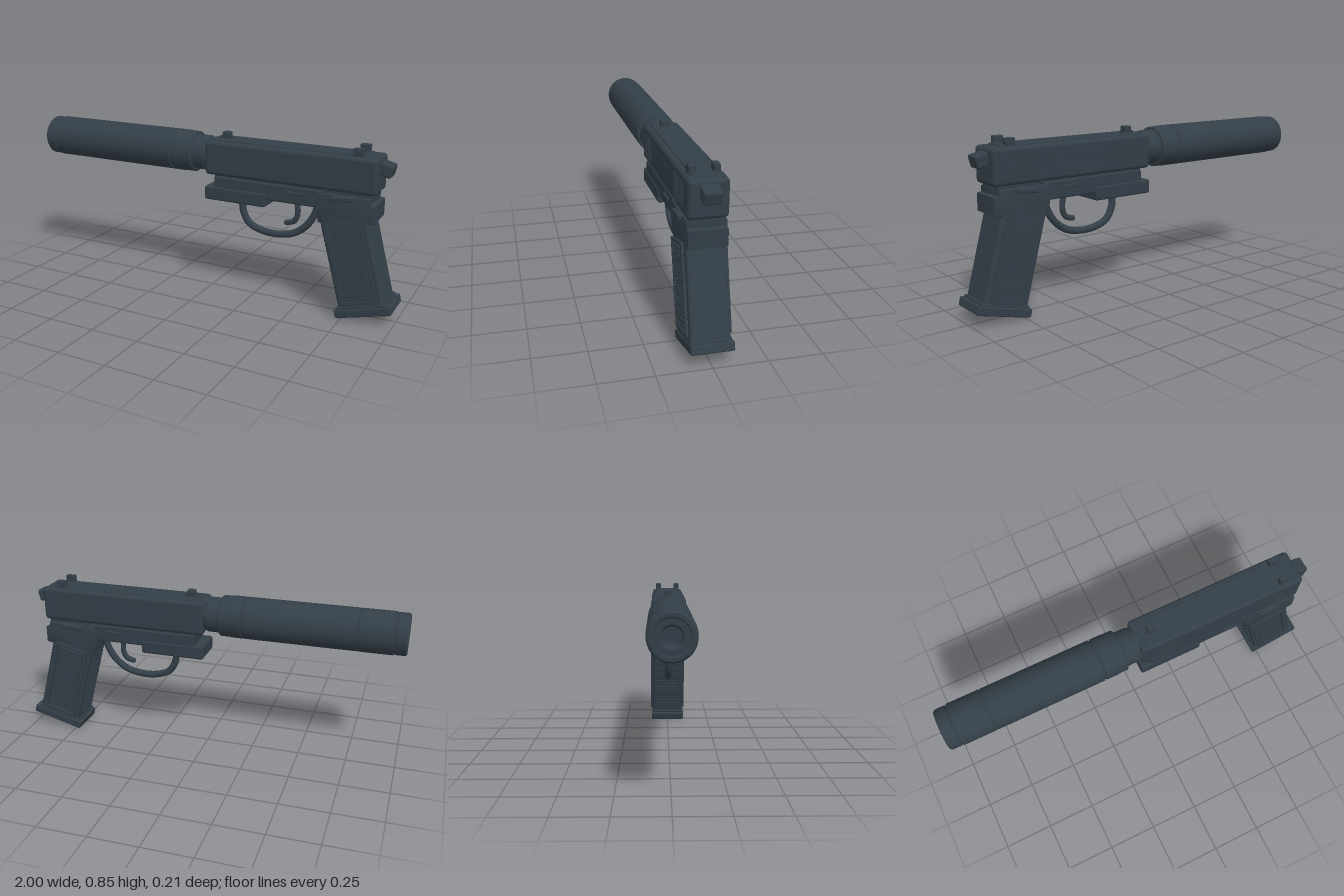
import * as THREE from 'three';
import { mergeGeometries, toCreasedNormals } from 'three/addons/utils/BufferGeometryUtils.js';
import { RoundedBoxGeometry } from 'three/addons/geometries/RoundedBoxGeometry.js';

export function createModel() {
  const root = new THREE.Group();
  const gunmetal = new THREE.MeshStandardMaterial({ color: 0x333e47 });

  const add = (name, geometry, parent = root) => {
    const mesh = new THREE.Mesh(geometry, gunmetal);
    mesh.name = name;
    parent.add(mesh);
    return mesh;
  };
  // Box given by its limits in x and y, its middle z and its width in z
  const box = (x0, x1, y0, y1, z, w, r = 0) => {
    const g = r
      ? new RoundedBoxGeometry(x1 - x0, y1 - y0, w, 2, r)
      : new THREE.BoxGeometry(x1 - x0, y1 - y0, w);
    return g.translate((x0 + x1) / 2, (y0 + y1) / 2, z);
  };
  const outline = (pts) => pts.map(([x, y]) => new THREE.Vector2(x, y));
  // Bevelled side profile, extruded evenly about z = 0
  const slab = (pts, w, bevel) => {
    const g = new THREE.ExtrudeGeometry(new THREE.Shape(outline(pts)), {
      depth: w - 2 * bevel, bevelThickness: bevel, bevelSize: bevel, bevelOffset: -bevel, bevelSegments: 2,
    });
    return toCreasedNormals(g.translate(0, 0, -w / 2 + bevel), 0.6);
  };
  // Thin rectangular border facing +z or -z
  const border = (x0, x1, y0, y1, t, z, depth) => {
    const s = new THREE.Shape(outline([[x0, y0], [x1, y0], [x1, y1], [x0, y1]]));
    s.holes.push(new THREE.Path(outline([
      [x0 + t, y0 + t], [x0 + t, y1 - t], [x1 - t, y1 - t], [x1 - t, y0 + t]])));
    return new THREE.ExtrudeGeometry(s, { depth, bevelEnabled: false }).translate(0, 0, z - depth / 2);
  };
  const rod = (pts, radius, segments) => new THREE.TubeGeometry(
    new THREE.CatmullRomCurve3(pts.map(([x, y]) => new THREE.Vector3(x, y, 0))), segments, radius, 12);
  let seed = 7;
  const rand = () => (seed = (seed * 16807) % 2147483647) / 2147483647;

  // Suppressor: profile of [radius, distance from muzzle], with seams and an open bore
  const profile = [
    [0.001, 0.12], [0.042, 0.12], [0.042, 0.012], [0.05, 0.004], [0.075, 0.004], [0.08, 0], [0.096, 0],
    [0.103, 0.008], [0.103, 0.056], [0.1, 0.058], [0.1, 0.062], [0.106, 0.065], [0.106, 0.23],
    [0.103, 0.232], [0.103, 0.236], [0.106, 0.238], [0.106, 0.795], [0.1, 0.798], [0.1, 0.803],
    [0.106, 0.806], [0.106, 0.862], [0.104, 0.872], [0.104, 0.915], [0.1, 0.92], [0.089, 0.922],
    [0.089, 0.985], [0.084, 0.99], [0.084, 1.03], [0.001, 1.03],
  ];
  const tube = new THREE.LatheGeometry(outline(profile), 48);
  tube.rotateZ(-Math.PI / 2).translate(-1, 0.73, 0);
  add('suppressor', toCreasedNormals(tube, 0.5));

  // Slide
  add('slide', box(0, 0.885, 0.637, 0.812, 0, 0.18, 0.02));
  add('slideRib', box(0.03, 0.83, 0.805, 0.818, 0, 0.12, 0.005));
  add('frontSight', box(0.065, 0.105, 0.81, 0.85, 0, 0.042, 0.005));
  add('frontSightBase', box(0.05, 0.115, 0.808, 0.825, 0, 0.03));
  for (const s of [-1, 1]) add('rearSight', box(0.76, 0.81, 0.808, 0.85, s * 0.054, 0.03, 0.005));

  // Grip bumps at both ends of the slide and the long side panels
  for (const s of [-1, 1]) {
    const bumps = [];
    for (const [start, cols] of [[0.066, 7], [0.65, 8]])
      for (let i = 0; i < cols; i++)
        for (let j = 0; j < 8; j++) {
          const x = start + i * 0.0205, y = 0.668 + j * 0.0145;
          bumps.push(box(x, x + 0.014, y, y + 0.008, s * 0.09, 0.006));
        }
    add('slideSerrations', mergeGeometries(bumps));
    if (s > 0) add('slideGroove', box(0.255, 0.53, 0.752, 0.758, 0.09, 0.005));
    else add('ejectionPort', border(0.24, 0.6, 0.685, 0.765, 0.006, -0.09, 0.005));
  }

  // Hammer
  const hammer = add('hammer', new RoundedBoxGeometry(0.09, 0.062, 0.08, 2, 0.01));
  hammer.position.set(0.895, 0.757, 0);
  hammer.rotation.z = -0.25;

  // Frame
  add('frameRail', box(0.05, 0.86, 0.59, 0.645, 0, 0.155, 0.008));
  add('frame', box(0.05, 0.64, 0.545, 0.634, 0, 0.168, 0.01));
  add('accessoryRail', box(0, 0.335, 0.507, 0.578, 0, 0.178, 0.01));
  add('gripShoulder', slab([
    [0.595, 0.55], [0.61, 0.475], [0.72, 0.475], [0.885, 0.508], [0.885, 0.592],
    [0.862, 0.596], [0.862, 0.625], [0.6, 0.625]], 0.18, 0.01));

  // Controls on each side
  for (const s of [-1, 1]) {
    add('slideStop', box(0.45, 0.54, 0.592, 0.608, s * 0.086, 0.014, 0.004));
    const lever = add('safetyLever', new RoundedBoxGeometry(0.115, 0.024, 0.022, 2, 0.006));
    lever.position.set(0.725, 0.608, s * 0.093);
    lever.rotation.z = 0.08;
    const pin = add('framePin', new THREE.CylinderGeometry(0.008, 0.008, 0.014, 12).rotateX(Math.PI / 2));
    pin.position.set(0.64, 0.635, s * 0.087);
  }

  // Trigger and guard
  add('triggerGuard', rod([
    [0.175, 0.52], [0.178, 0.45], [0.215, 0.385], [0.29, 0.355], [0.38, 0.351],
    [0.46, 0.37], [0.525, 0.42], [0.565, 0.485], [0.585, 0.56]], 0.018, 48));
  add('trigger', rod([
    [0.462, 0.56], [0.475, 0.51], [0.475, 0.465], [0.457, 0.432], [0.42, 0.42]], 0.014, 24));
  add('triggerTip', new THREE.SphereGeometry(0.014, 12, 8).translate(0.42, 0.42, 0));

  // Slanted grip
  const grip = new THREE.Group();
  grip.name = 'grip';
  grip.position.set(0.862, 0.037, 0);
  grip.rotation.z = THREE.MathUtils.degToRad(15);
  root.add(grip);
  add('gripBody', box(-0.117, 0.112, 0.03, 0.54, 0, 0.18, 0.014), grip);
  add('magazineBase', box(-0.141, 0.141, 0, 0.043, 0, 0.196, 0.007), grip);
  add('magazineLip', box(-0.125, 0.122, 0.04, 0.055, 0, 0.184, 0.005), grip);

  // Ribs on the front strap
  const ribs = [];
  for (let i = 0; i < 18; i++) ribs.push(box(-0.122, -0.11, 0.075 + i * 0.022, 0.086 + i * 0.022, 0, 0.14));
  add('frontStrapRibs', mergeGeometries(ribs), grip);

  // Framed, stippled side panels
  for (const s of [-1, 1]) {
    add('gripPanelFrame', border(-0.096, 0.085, 0.065, 0.475, 0.014, s * 0.094, 0.016), grip);
    add('gripPanel', box(-0.074, 0.063, 0.087, 0.453, s * 0.0925, 0.014), grip);
    const grains = [];
    for (let i = 0; i < 9; i++)
      for (let j = 0; j < 24; j++) {
        const size = 0.004 + rand() * 0.004;
        const grain = new THREE.BoxGeometry(size * 1.4, size, 0.006).rotateZ(rand() * 3);
        grains.push(grain.translate(
          -0.066 + i * 0.0152 + (rand() - 0.5) * 0.006, 0.095 + j * 0.0152 + (rand() - 0.5) * 0.006, s * 0.0995));
      }
    add('gripStipple', mergeGeometries(grains), grip);
  }
  return root;
}
